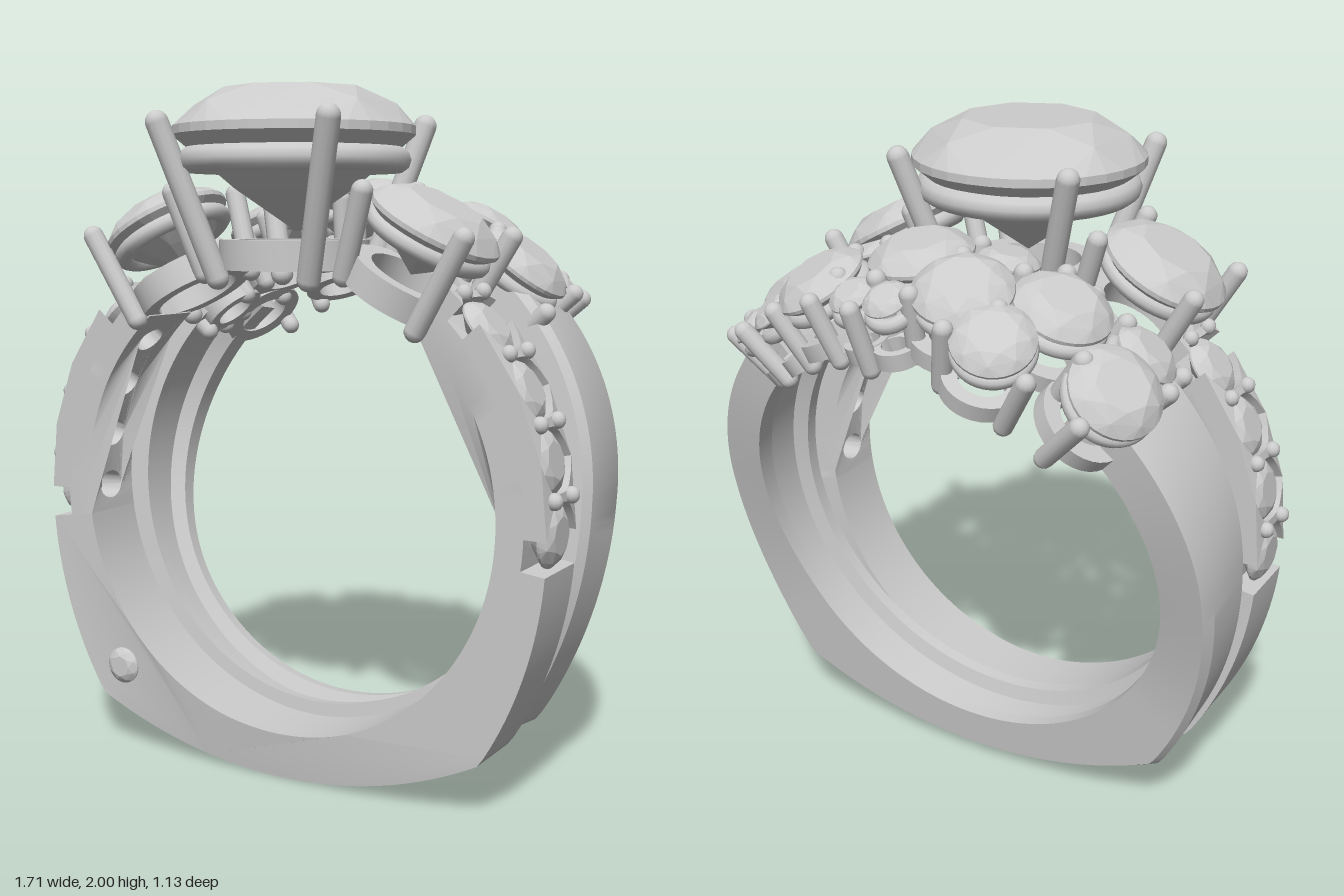
import * as THREE from 'three';
import { toCreasedNormals } from 'three/addons/utils/BufferGeometryUtils.js';
import { ConvexGeometry } from 'three/addons/geometries/ConvexGeometry.js';

const CY = 0.825, INNER = 0.685, Z1 = 0.215;
const UP = new THREE.Vector3(0, 1, 0);
const V = (x, y, z) => new THREE.Vector3(x, y, z);
const rad = (d) => (d * Math.PI) / 180;
const metal = new THREE.MeshStandardMaterial({ color: 0xcccccc, side: THREE.DoubleSide });
const stone = new THREE.MeshStandardMaterial({ color: 0xcccccc, flatShading: true });

function add(parent, name, geo, mat = metal) {
  const m = new THREE.Mesh(geo, mat);
  m.name = name;
  parent.add(m);
  return m;
}
function aim(obj, pos, normal) {
  obj.position.copy(pos);
  obj.quaternion.setFromUnitVectors(UP, normal.clone().normalize());
  return obj;
}

// Unit brilliant cut: table, crown, girdle, pavilion and culet
function gemGeometry() {
  const pts = [V(0, -0.81, 0)];
  const row = (n, r, y, turn) => {
    for (let i = 0; i < n; i++) {
      const a = ((i + turn) / n) * Math.PI * 2;
      pts.push(V(r * Math.cos(a), y, r * Math.sin(a)));
    }
  };
  row(8, 0.58, 0.34, 0);
  row(8, 0.84, 0.21, 0.5);
  row(32, 1, 0.03, 0);
  row(32, 1, -0.04, 0);
  row(8, 0.5, -0.47, 0.5);
  return new ConvexGeometry(pts);
}
const gemGeo = gemGeometry();
function gem(parent, name, pos, normal, r) {
  const m = aim(add(parent, name, gemGeo, stone), pos, normal);
  m.scale.setScalar(r);
}

// Flat annulus lying across its normal
function ring(parent, name, pos, normal, outer, inner, h) {
  const p = [[inner, -h / 2], [outer, -h / 2], [outer, h / 2], [inner, h / 2], [inner, -h / 2]];
  const geo = new THREE.LatheGeometry(p.map((q) => new THREE.Vector2(...q)), 32);
  aim(add(parent, name, toCreasedNormals(geo, 0.6)), pos, normal);
}
function rail(parent, name, pos, normal, r, tube) {
  const geo = new THREE.TorusGeometry(r, tube, 10, 40).rotateX(Math.PI / 2);
  aim(add(parent, name, geo), pos, normal);
}
// Round-ended post between two points
function prong(parent, from, to, r = 0.03) {
  const d = to.clone().sub(from);
  const geo = new THREE.CapsuleGeometry(r, d.length(), 5, 12);
  aim(add(parent, 'prong', geo), from.clone().add(to).multiplyScalar(0.5), d);
}

// Outer radius of a band at an angle: round above, flared to two corners below
function outerRadius(a) {
  if (a > 0 && a < Math.PI) return 0.83;
  const dx = Math.abs(Math.cos(a)), dy = Math.sin(a);
  const hit = (cx, cy, R) => {
    const ox = -cx, oy = CY - cy, b = ox * dx + oy * dy;
    return -b + Math.sqrt(b * b - (ox * ox + oy * oy) + R * R);
  };
  return Math.min(hit(-0.35, 0.8, 1.18), hit(0, 1.343, 1.343));
}

// Extrude a shape drawn in (arc length, z) and wrap it round the finger axis
function bent(shape, r0, r1) {
  const geo = new THREE.ExtrudeGeometry(shape, { depth: r1 - r0, bevelEnabled: false, curveSegments: 16 });
  const p = geo.attributes.position;
  for (let i = 0; i < p.count; i++) {
    const a = p.getX(i) / 0.8, z = p.getY(i), r = r0 + p.getZ(i);
    p.setXYZ(i, r * Math.cos(a), CY + r * Math.sin(a), Z1 + z);
  }
  return toCreasedNormals(geo, 0.6);
}

function frontBand(g) {
  // Plain lower shank, narrowing at the base
  const pts = [];
  for (let d = -8; d >= -172; d -= 2) {
    const a = rad(d), r = outerRadius(a);
    pts.push(new THREE.Vector2(r * Math.cos(a), CY + r * Math.sin(a)));
  }
  for (let d = -172; d <= -8; d += 2) {
    pts.push(new THREE.Vector2(INNER * Math.cos(rad(d)), CY + INNER * Math.sin(rad(d))));
  }
  const geo = new THREE.ExtrudeGeometry(new THREE.Shape(pts), { depth: 0.21, bevelEnabled: false });
  geo.translate(0, 0, -0.105);
  const p = geo.attributes.position;
  for (let i = 0; i < p.count; i++) {
    const k = 0.78 + 0.22 * Math.min(1, p.getY(i) / 0.17);
    p.setZ(i, Z1 + p.getZ(i) * k);
  }
  add(g, 'frontShank', toCreasedNormals(geo, 0.5));
  gem(g, 'flushStone', V(-0.57, 0.26, 0.315), V(0, 0, 1), 0.056);

  for (const side of [1, -1]) {
    const ang = (d) => rad(side > 0 ? d : 180 - d);
    // Pierced shoulder under the small stones
    const s0 = Math.min(ang(-8), ang(50)) * 0.8, s1 = Math.max(ang(-8), ang(50)) * 0.8, n = 24;
    const edge = [];
    for (let i = 0; i <= n; i++) edge.push(new THREE.Vector2(s0 + ((s1 - s0) * i) / n, -0.105));
    for (let i = n; i >= 0; i--) edge.push(new THREE.Vector2(s0 + ((s1 - s0) * i) / n, 0.105));
    const shape = new THREE.Shape(edge);
    const seats = [-1.5, 12.5, 26.5, 40.5];
    for (const d of seats) {
      shape.holes.push(new THREE.Path().absarc(ang(d) * 0.8, 0, 0.05, 0, Math.PI * 2, true));
    }
    add(g, 'shoulder', bent(shape, INNER, 0.765));
    // Scalloped bridges and beads between the stones
    seats.forEach((d, i) => {
      const a = ang(d), n3 = V(Math.cos(a), Math.sin(a), 0);
      gem(g, 'shoulderStone', V(0.8 * n3.x, CY + 0.8 * n3.y, Z1), n3, 0.092);
      const c = ang(d + 7) * 0.8, gap = 0.8 * rad(7), half = i === 3 ? 0.03 : gap;
      const bridge = new THREE.Shape();
      for (let j = 0; j <= 10; j++) {
        const z = -0.105 + 0.021 * j;
        bridge.lineTo(c + Math.max(0.012, half - Math.sqrt(Math.max(0, 0.0088 - z * z))), z);
      }
      for (let j = 10; j >= 0; j--) {
        const z = -0.105 + 0.021 * j;
        bridge.lineTo(c - Math.max(0.012, half - Math.sqrt(Math.max(0, 0.0088 - z * z))), z);
      }
      bridge.curves.shift();
      add(g, 'scallopBridge', bent(bridge, 0.76, 0.83));
      for (const z of [-0.06, 0.06]) {
        const b = ang(d + 7);
        const bead = add(g, 'bead', new THREE.SphereGeometry(0.024, 10, 8));
        bead.position.set(0.835 * Math.cos(b), CY + 0.835 * Math.sin(b), Z1 + z);
      }
    });
  }
}

function frontHead(g) {
  // Large centre stone in a four-prong basket
  gem(g, 'centreStone', V(0, 1.883, Z1), UP, 0.345);
  rail(g, 'centreRail', V(0, 1.8, Z1), UP, 0.295, 0.037);
  ring(g, 'centreGallery', V(0, 1.535, Z1), UP, 0.215, 0.16, 0.085);
  for (const s of [1, -1]) {
    for (const t of [1, -1]) {
      prong(g, V(s * 0.15, 1.47, Z1 + t * 0.17), V(s * 0.275, 1.9, Z1 + t * 0.275), 0.033);
      prong(g, V(s * 0.46, 1.34, Z1 + t * 0.14), V(s * 0.605, 1.585, Z1 + t * 0.155));
      prong(g, V(s * 0.23, 1.48, Z1 + t * 0.12), V(s * 0.31, 1.71, Z1 + t * 0.16));
    }
    // Tilted side stones
    const n = V(s * 0.49, 0.87, 0);
    gem(g, 'sideStone', V(s * 0.45, 1.62, Z1), n, 0.192);
    rail(g, 'sideRail', V(s * 0.427, 1.58, Z1), n, 0.16, 0.026);
    ring(g, 'sideGallery', V(s * 0.36, 1.445, Z1), n, 0.175, 0.125, 0.08);
  }
}

// Leaning rear band, swept from cross-sections that widen upward, grooved inside
function rearBand(g) {
  const pos = [], idx = [], N = 10;
  let rows = 0, first;
  for (let d = 50; d >= -230; d -= 2, rows++) {
    const a = rad(d), ro = outerRadius(a < -Math.PI ? a + 2 * Math.PI : a), ri = INNER;
    const k = THREE.MathUtils.smoothstep(CY + ro * Math.sin(a), 0.3, 1.45);
    const f = 0.11 + 0.01 * k, b = 0.11 + 0.1 * k;
    const sec = [[ri, f], [ro - 0.02, f], [ro, f * 0.75], [ro, -b * 0.75], [ro - 0.02, -b],
      [ri, -b], [ri, -b * 0.65], [ri + 0.045, -b * 0.5], [ri + 0.045, f * 0.5], [ri, f * 0.65]];
    first ??= sec.map((q) => new THREE.Vector2(...q));
    for (const [r, z] of sec) pos.push(r * Math.cos(a), CY + r * Math.sin(a), z);
  }
  for (let i = 0; i < rows - 1; i++) {
    for (let j = 0; j < N; j++) {
      const a = i * N + j, b = i * N + ((j + 1) % N);
      idx.push(a, a + N, b, b, a + N, b + N);
    }
  }
  const last = (rows - 1) * N;
  for (const [a, b, c] of THREE.ShapeUtils.triangulateShape(first, [])) {
    idx.push(a, b, c, last + a, last + c, last + b);
  }
  const geo = new THREE.BufferGeometry();
  geo.setAttribute('position', new THREE.Float32BufferAttribute(pos, 3));
  geo.setIndex(idx);
  const band = add(g, 'rearShank', toCreasedNormals(geo, 0.5));
  band.rotation.x = -0.125;
  band.position.set(0, 0.025, 0.01);
}

// Cluster of stones over a domed surface: [x, z, radius]
function cluster(g) {
  const stones = [
    [-0.37, -0.25, 0.14], [0.07, -0.255, 0.15], [-0.58, -0.35, 0.135], [-0.14, -0.38, 0.14],
    [-0.29, -0.475, 0.115], [0.335, -0.37, 0.14], [0.54, -0.18, 0.15], [0.31, -0.12, 0.105],
    [-0.14, -0.14, 0.09], [-0.56, -0.125, 0.1], [0.04, -0.475, 0.066], [0.16, -0.465, 0.066],
    [0.47, -0.42, 0.07], [0.58, -0.385, 0.065]];
  const tips = [
    [-0.17, -0.52], [0.11, -0.53], [0.1, -0.42], [-0.03, -0.46], [-0.26, -0.4], [-0.41, -0.52],
    [-0.55, -0.5], [-0.23, -0.22], [0.27, -0.49], [0.24, -0.4], [0.41, -0.47], [0.53, -0.46],
    [0.63, -0.38], [0.64, -0.29], [0.42, -0.24], [0.43, -0.12], [0.65, -0.06], [-0.6, -0.25],
    [-0.65, -0.2], [-0.62, -0.05], [-0.48, -0.11], [-0.38, -0.1], [-0.27, -0.06], [0.28, -0.05],
    [0.44, -0.19], [0.32, -0.21], [-0.06, -0.25], [-0.49, -0.37], [0.24, -0.16], [-0.02, -0.09]];
  const surface = (x, z) => {
    const R = 0.87 - (z + 0.22) ** 2;
    const c = Math.sqrt(R * R - x * x) / R;
    return [V(x, CY + R * c, z), V(x / R, c, -0.12 + 2 * (z + 0.22)).normalize()];
  };
  for (const [x, z, r] of stones) {
    const [p, n] = surface(x, z);
    gem(g, 'clusterStone', p, n, r);
    rail(g, 'clusterRail', p.clone().addScaledVector(n, -0.045), n, r * 0.84, 0.022);
    const low = V(n.x, n.y, n.z * 0.35).normalize();
    ring(g, 'clusterGallery', p.clone().addScaledVector(low, -0.16), low, r * 0.98, r * 0.6, 0.05);
  }
  for (const [x, z] of tips) {
    const [p, n] = surface(x, z);
    const low = V(n.x, n.y, n.z * 0.35).normalize();
    prong(g, p.clone().addScaledVector(low, -0.17), p.clone().addScaledVector(n, 0.015), 0.028);
  }
}

export function createModel() {
  const root = new THREE.Group();
  root.name = 'ringSet';
  const parts = { frontBand, frontHead, rearBand, cluster };
  for (const [name, build] of Object.entries(parts)) {
    const g = new THREE.Group();
    g.name = name;
    build(g);
    root.add(g);
  }
  return root;
}
